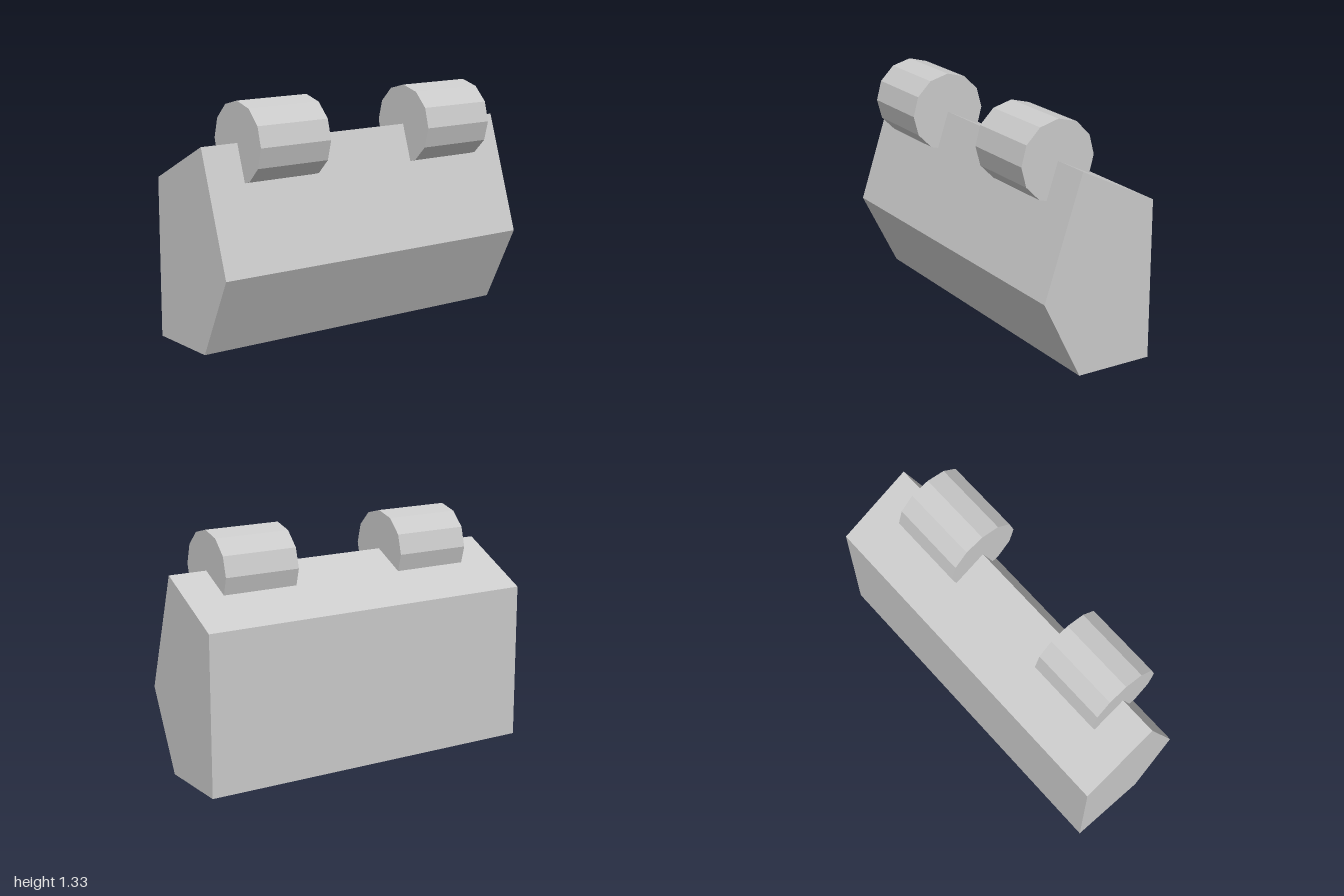
import * as THREE from 'three';

export function createModel() {
  const model = new THREE.Group();
  const material = new THREE.MeshStandardMaterial({ color: 0xcccccc, flatShading: true });
  const add = (name, geometry) => {
    const mesh = new THREE.Mesh(geometry, material);
    mesh.name = name;
    model.add(mesh);
    return mesh;
  };

  // Body: five-sided side profile (z, y) drawn out along the width
  const profile = new THREE.Shape([
    [-0.333, 0], [0.111, 0], [0.333, 0.444], [0.111, 1.111], [-0.333, 0.889],
  ].map(([z, y]) => new THREE.Vector2(z, y)));
  const bodyGeometry = new THREE.ExtrudeGeometry(profile, { depth: 2, bevelEnabled: false });
  bodyGeometry.translate(0, 0, -1).rotateY(-Math.PI / 2);
  add('body', bodyGeometry);

  // Two twelve-sided rollers centred on the top ridge
  const rollerGeometry = new THREE.CylinderGeometry(0.222, 0.222, 0.444, 12).rotateZ(Math.PI / 2);
  for (const [name, side] of [['leftRoller', 1], ['rightRoller', -1]]) {
    add(name, rollerGeometry).position.set(side * 0.556, 1.111, 0.111);
  }

  return model;
}
